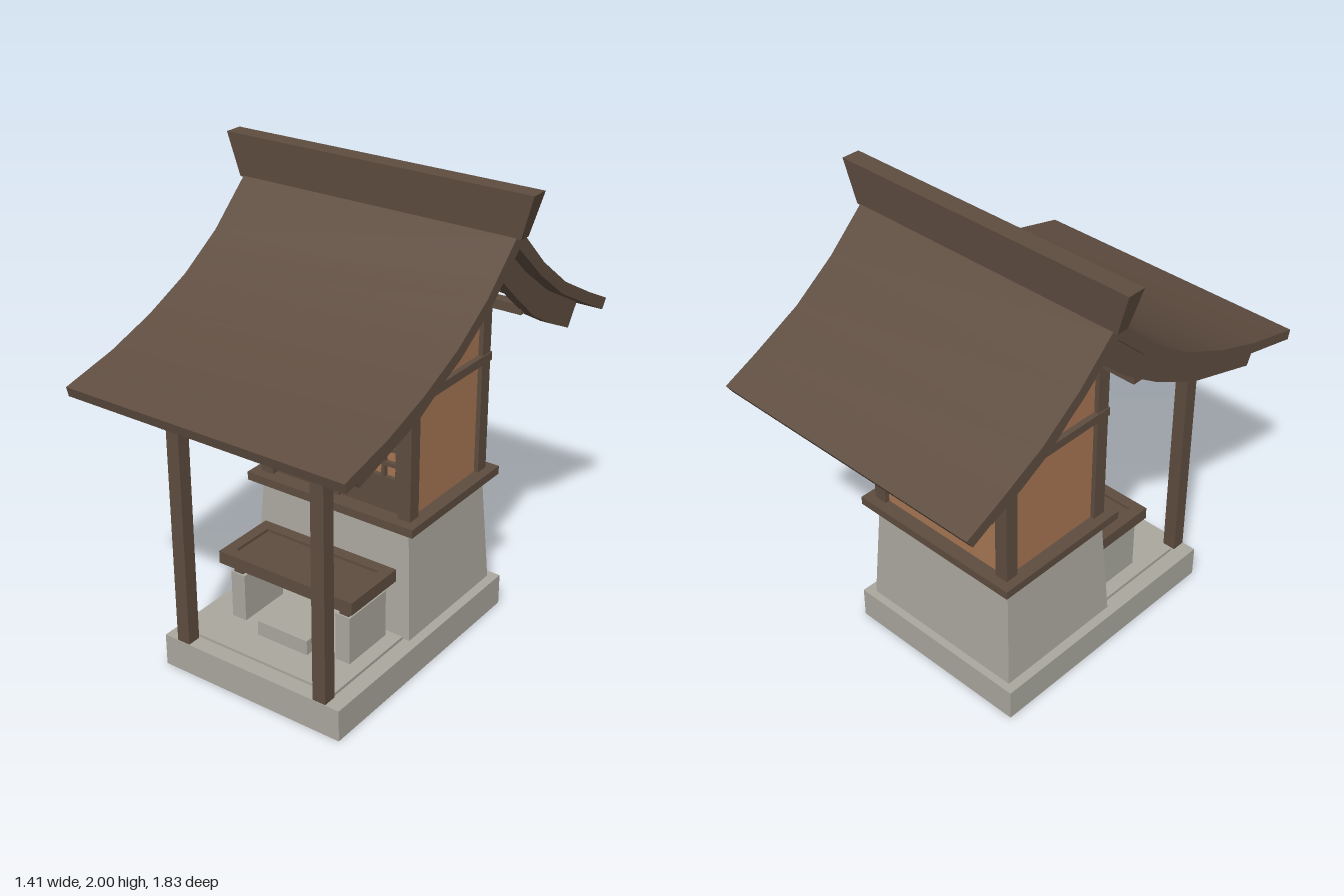
import * as THREE from 'three';
import { toCreasedNormals } from 'three/addons/utils/BufferGeometryUtils.js';

const mat = (name, color) => { const m = new THREE.MeshStandardMaterial({ color }); m.name = name; return m; };

export function createModel() {
  const root = new THREE.Group();
  root.name = 'shrine';
  const wood = mat('darkWood', 0x5f4d40);
  const panel = mat('warmPanelWood', 0xa87654);
  const stone = mat('greyStone', 0xaaa89e);

  const add = (name, geo, material, parent = root) => {
    const m = new THREE.Mesh(geo, material);
    m.name = name;
    parent.add(m);
    return m;
  };
  // box given by its min and max on each axis
  const box = (name, material, x0, x1, y0, y1, z0, z1) =>
    add(name, new THREE.BoxGeometry(x1 - x0, y1 - y0, z1 - z0)
      .translate((x0 + x1) / 2, (y0 + y1) / 2, (z0 + z1) / 2), material);
  // same box on both sides of the model
  const pair = (name, material, x0, x1, ...rest) => {
    box(name + 'Left', material, x0, x1, ...rest);
    box(name + 'Right', material, -x1, -x0, ...rest);
  };
  // box with a different size at top and bottom
  const taper = (name, material, hx0, hz0, hx1, hz1, y0, y1, cz) => {
    const g = new THREE.BoxGeometry(2, y1 - y0, 2), p = g.attributes.position;
    for (let i = 0; i < p.count; i++) {
      const up = p.getY(i) > 0;
      p.setX(i, p.getX(i) * (up ? hx1 : hx0));
      p.setZ(i, p.getZ(i) * (up ? hz1 : hz0));
    }
    g.computeVertexNormals();
    return add(name, g.translate(0, (y0 + y1) / 2, cz), material);
  };
  // outline in [z, y], extruded across x from x0 to x1
  const profile = (pts, x0, x1) => {
    const s = new THREE.Shape(pts.map(([z, y]) => new THREE.Vector2(-z, y)));
    const g = new THREE.ExtrudeGeometry(s, { depth: x1 - x0, bevelEnabled: false });
    return toCreasedNormals(g.rotateY(Math.PI / 2).translate(x0, 0, 0), 0.5);
  };

  // stone kerb and floor, open below
  pair('sideKerb', stone, 0.365, 0.435, 0, 0.14, -0.43, 0.61);
  box('frontKerb', stone, -0.435, 0.435, 0, 0.14, 0.61, 0.68);
  box('backKerb', stone, -0.435, 0.435, 0, 0.14, -0.5, -0.43);
  box('floorSlab', stone, -0.36, 0.36, 0.06, 0.147, -0.425, 0.605);
  taper('stonePlinth', stone, 0.393, 0.303, 0.362, 0.275, 0.14, 0.637, -0.163);

  // offering table on stone legs, with a step
  pair('tableLeg', stone, 0.228, 0.297, 0.14, 0.36, 0.17, 0.418);
  pair('tableBearer', wood, 0.243, 0.287, 0.36, 0.41, 0.18, 0.41);
  pair('tableRim', wood, 0.28, 0.33, 0.405, 0.46, 0.148, 0.45);
  box('tableFrontRim', wood, -0.28, 0.28, 0.405, 0.46, 0.4, 0.45);
  box('tableBackRim', wood, -0.28, 0.28, 0.405, 0.46, 0.148, 0.198);
  box('tableTop', wood, -0.28, 0.28, 0.41, 0.448, 0.198, 0.4);
  box('step', stone, -0.124, 0.124, 0.14, 0.213, 0.31, 0.468);

  // cabin frame
  box('cabinSill', wood, -0.41, 0.41, 0.635, 0.672, -0.492, 0.16);
  pair('frontCornerPost', wood, 0.31, 0.37, 0.67, 1.44, 0.056, 0.116);
  pair('backCornerPost', wood, 0.31, 0.37, 0.67, 1.44, -0.45, -0.39);
  pair('sideRail', wood, 0.33, 0.375, 1.163, 1.2, -0.454, 0.12);
  box('frontRail', wood, -0.33, 0.33, 1.163, 1.2, 0.07, 0.12);
  box('backRail', wood, -0.33, 0.33, 1.163, 1.2, -0.454, -0.41);
  pair('sideTopBeam', wood, 0.32, 0.372, 1.415, 1.455, -0.45, 0.116);
  box('frontWallPlate', wood, -0.53, 0.53, 1.415, 1.455, 0.06, 0.112);
  box('backWallPlate', wood, -0.53, 0.53, 1.415, 1.455, -0.446, -0.394);
  pair('kingPost', wood, 0.33, 0.37, 1.455, 1.7, -0.197, -0.138);
  // cabin panels
  pair('sidePanel', panel, 0.33, 0.35, 0.67, 1.42, -0.4, 0.07);
  box('backPanel', panel, -0.32, 0.32, 0.67, 1.43, -0.43, -0.41);
  box('frontUpperPanel', panel, -0.32, 0.32, 1.19, 1.43, 0.06, 0.08);
  box('doorHeader', wood, -0.32, 0.32, 1.1, 1.17, 0.05, 0.09);
  box('doorCap', wood, -0.18, 0.18, 1.085, 1.1, 0.06, 0.1);
  box('doorCentreStile', wood, -0.016, 0.016, 0.67, 1.1, 0.06, 0.1);

  // lattice doors with a panel behind
  for (const side of [-1, 1]) {
    const door = new THREE.Shape();
    const rect = (path, x, y, w, h) => path.moveTo(x, y).lineTo(x + w, y).lineTo(x + w, y + h).lineTo(x, y + h).closePath();
    rect(door, side > 0 ? 0.012 : -0.312, 0.672, 0.3, 0.43);
    for (let i = 0; i < 4; i++) for (let j = 0; j < 4; j++) {
      const hole = new THREE.Path(), x = 0.029 + 0.0663 * i;
      rect(hole, side > 0 ? x : -x - 0.05, 0.82 + 0.0667 * j, 0.05, 0.05);
      door.holes.push(hole);
    }
    const name = side > 0 ? 'Left' : 'Right';
    add('latticeDoor' + name, new THREE.ExtrudeGeometry(door, { depth: 0.02, bevelEnabled: false }).translate(0, 0, 0.067), wood);
    box('latticeBacking' + name, panel, side > 0 ? 0.02 : -0.3, side > 0 ? 0.3 : -0.02, 0.8, 1.09, 0.058, 0.066);
  }

  // porch posts, tie beam with shaped ends, and purlin
  pair('porchPost', wood, 0.31, 0.37, 0.14, 1.25, 0.618, 0.678);
  const half = [[0.37, 1.09], [0.4, 1.08], [0.42, 1.09], [0.426, 1.112], [0.418, 1.135], [0.37, 1.135]];
  const tie = new THREE.Shape([...half, ...half.map(([x, y]) => [-x, y]).reverse()].map(p => new THREE.Vector2(...p)));
  add('porchTieBeam', new THREE.ExtrudeGeometry(tie, { depth: 0.04, bevelEnabled: false }).translate(0, 0, 0.628), wood);
  box('porchPurlin', wood, -0.53, 0.53, 1.215, 1.268, 0.62, 0.676);

  // roof curves in [z, y], front to back
  const top = [[0.915, 1.288], [0.667, 1.347], [0.45, 1.422], [0.233, 1.523], [0.042, 1.65], [-0.145, 1.825],
    [-0.2, 1.825], [-0.365, 1.666], [-0.55, 1.528], [-0.762, 1.416], [-0.915, 1.342]];
  const under = [[0.905, 1.247], [0.64, 1.308], [0.43, 1.38], [0.21, 1.48], [0.015, 1.608], [-0.17, 1.777],
    [-0.345, 1.62], [-0.53, 1.484], [-0.745, 1.372], [-0.887, 1.3]];
  const underY = z => {
    const i = Math.max(1, under.findIndex(p => p[0] <= z));
    const [a, b] = [under[i - 1], under[i]];
    return a[1] + (b[1] - a[1]) * (a[0] - z) / (a[0] - b[0]);
  };
  const underBetween = (z0, z1) => [[z0, underY(z0)], ...under.filter(p => p[0] < z0 && p[0] > z1), [z1, underY(z1)]];
  add('roof', profile([...top, ...[...under].reverse()], -0.635, 0.635), wood);
  taper('ridgeBeam', wood, 0.652, 0.028, 0.705, 0.04, 1.82, 2, -0.173);

  // bargeboards at both gable ends
  const bargeLow = [[0.735, 1.172], [0.376, 1.28], [0.138, 1.406], [-0.037, 1.523], [-0.168, 1.638],
    [-0.296, 1.523], [-0.434, 1.406], [-0.577, 1.326], [-0.725, 1.257]];
  const barge = [...underBetween(0.783, -0.788), ...[...bargeLow].reverse()];
  add('bargeboardLeft', profile(barge, 0.52, 0.567), wood);
  add('bargeboardRight', profile(barge, -0.567, -0.52), wood);

  // curved rafters
  const line = underBetween(0.765, -0.77);
  const rafter = [...line, ...line.map(([z, y]) => [z, y - 0.045]).reverse()];
  const rafterGeo = profile(rafter, -0.025, 0.025);
  for (let i = -5; i <= 5; i++) add('rafter', rafterGeo, wood).position.x = i * 0.088;

  // gable panels
  const gable = [...underBetween(0.1, -0.43), [-0.43, 1.44], [0.1, 1.44]];
  add('gablePanelLeft', profile(gable, 0.33, 0.35), panel);
  add('gablePanelRight', profile(gable, -0.35, -0.33), panel);
  return root;
}
